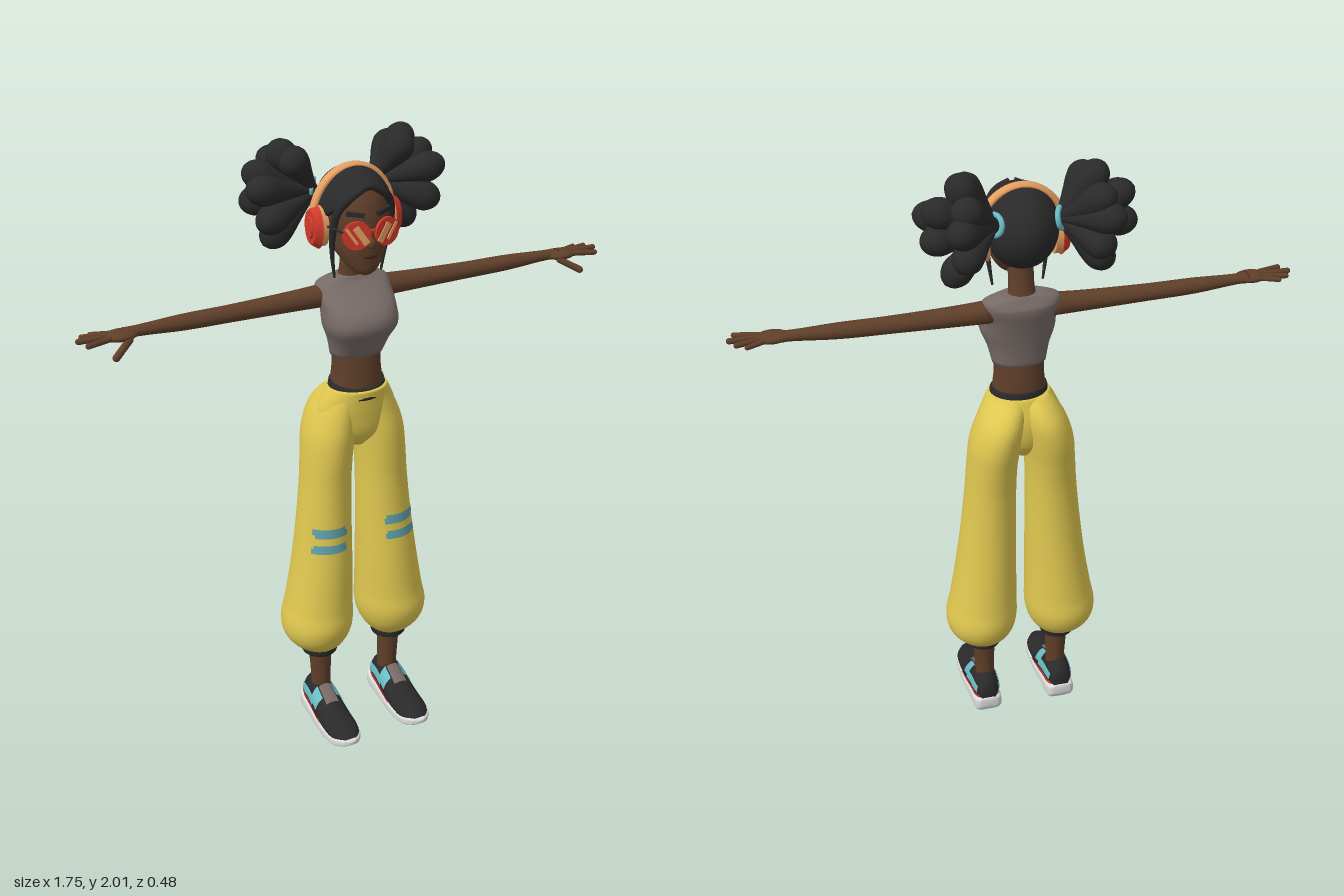
import * as THREE from 'three';

const mat = (name, color) => {
  const m = new THREE.MeshStandardMaterial({ color });
  m.name = name;
  return m;
};
const rad = THREE.MathUtils.degToRad;

// Smooth interpolation of profile rows [t, centreU, centreV, radiusU, radiusV]
function sample(rows, t) {
  const last = rows.length - 1;
  let i = 0;
  while (i < last - 1 && t > rows[i + 1][0]) i++;
  const a = rows[i], b = rows[i + 1], h = b[0] - a[0], s = (t - a[0]) / h;
  const slope = (k, c) => {
    const p = rows[Math.max(k - 1, 0)], q = rows[Math.min(k + 1, last)];
    return (q[c] - p[c]) / (q[0] - p[0]);
  };
  return [1, 2, 3, 4].map(c =>
    (2 * s ** 3 - 3 * s * s + 1) * a[c] + (s ** 3 - 2 * s * s + s) * h * slope(i, c) +
    (3 * s * s - 2 * s ** 3) * b[c] + (s ** 3 - s * s) * h * slope(i + 1, c));
}

// Skin of (super)ellipses along an axis: y rows use U = z, V = x; z rows x, y; x rows y, z.
// An angle range gives an open patch lying just above the surface.
function loft(axis, rows, { n = 2, from, to, a0 = 0, a1 = 360, grow = 0, sides = 40 } = {}) {
  const closed = a1 - a0 >= 360, pos = [], idx = [], ts = [];
  const start = from ?? rows[0][0], end = to ?? rows[rows.length - 1][0];
  if (from !== undefined) for (let i = 0; i <= 12; i++) ts.push(start + (end - start) * i / 12);
  else rows.forEach((r, i) => {
    ts.push(r[0]);
    if (i < rows.length - 1) for (let k = 1; k < 4; k++) ts.push(r[0] + (rows[i + 1][0] - r[0]) * k / 4);
  });
  const u = (axis + 1) % 3, v = (axis + 2) % 3, w = closed ? sides : sides + 1;
  const put = (t, cu, cv) => {
    const p = [0, 0, 0];
    p[axis] = t; p[u] = cu; p[v] = cv;
    pos.push(...p);
  };
  const bend = c => Math.sign(c) * Math.abs(c) ** (2 / n);
  for (const t of ts) {
    const [cu, cv, ru, rv] = sample(rows, t);
    for (let j = 0; j < w; j++) {
      const a = rad(a0 + (a1 - a0) * j / sides);
      put(t, cu + (Math.max(ru, 0.001) + grow) * bend(Math.cos(a)), cv + (Math.max(rv, 0.001) + grow) * bend(Math.sin(a)));
    }
  }
  for (let i = 0; i < ts.length - 1; i++) for (let j = 0; j < sides; j++) {
    const k = (j + 1) % w, p = i * w + j, q = i * w + k;
    idx.push(p, q, p + w, q, q + w, p + w);
  }
  if (closed) [0, ts.length - 1].forEach(i => {
    const c = pos.length / 3, s = sample(rows, ts[i]);
    put(ts[i], s[0], s[1]);
    for (let j = 0; j < w; j++) {
      const p = i * w + j, q = i * w + (j + 1) % w;
      idx.push(c, ...(i ? [p, q] : [q, p]));
    }
  });
  const g = new THREE.BufferGeometry();
  g.setAttribute('position', new THREE.Float32BufferAttribute(pos, 3));
  g.setIndex(idx);
  g.computeVertexNormals();
  return g;
}

function mirrored(g) {
  const m = g.clone().scale(-1, 1, 1), x = m.index;
  for (let i = 0; i < x.count; i += 3) {
    const a = x.getX(i);
    x.setX(i, x.getX(i + 1));
    x.setX(i + 1, a);
  }
  return m;
}

// Turns a geometry built along +y from the origin so it runs from a towards b
function aim(g, a, b) {
  const A = new THREE.Vector3(...a), d = new THREE.Vector3(...b).sub(A).normalize();
  return g.applyQuaternion(new THREE.Quaternion().setFromUnitVectors(new THREE.Vector3(0, 1, 0), d)).translate(...a);
}
const gap = (a, b) => Math.hypot(a[0] - b[0], a[1] - b[1], a[2] - b[2]);
const rod = (a, b, r) => {
  const L = gap(a, b);
  return aim(new THREE.CapsuleGeometry(r, L - r, 5, 12).translate(0, L / 2, 0), a, b);
};
const ball = (x, y, z, rx, ry, rz) => new THREE.SphereGeometry(1, 24, 16).scale(rx, ry, rz).translate(x, y, z);

export function createModel() {
  const skin = mat('skin', 0x5f3f29), black = mat('black', 0x2a2a2a), grey = mat('grey', 0x776b67);
  const yellow = mat('yellow', 0xe0c850), blue = mat('patchBlue', 0x62a3ad), cyan = mat('cyan', 0x69bcc6);
  const red = mat('red', 0xd43a2a), tan = mat('tan', 0xe79e62), white = mat('white', 0xdcdcdc), lip = mat('lip', 0x44281c);
  blue.side = cyan.side = red.side = grey.side = THREE.DoubleSide;
  const model = new THREE.Group();
  const add = (name, g, m) => {
    const mesh = new THREE.Mesh(g, m);
    mesh.name = name;
    model.add(mesh);
  };
  const pair = (name, g, m) => {
    add('left' + name, g, m);
    add('right' + name, mirrored(g), m);
  };

  // Torso, neck and crop top
  add('midriff', loft(1, [[1.2, 0, 0, .07, .085], [1.25, 0, 0, .07, .084], [1.3, 0, 0, .066, .079], [1.37, 0, 0, .058, .08]]), skin);
  add('neck', loft(1, [[1.55, -.04, 0, .045, .055], [1.6, -.032, 0, .034, .04], [1.7, -.015, 0, .036, .04]]), skin);
  add('cropTop', loft(1, [[1.345, 0, 0, .061, .084], [1.4, .014, 0, .08, .097], [1.45, .026, 0, .1, .116], [1.5, .013, 0, .098, .117],
    [1.55, -.024, 0, .07, .12], [1.575, -.034, 0, .046, .112], [1.59, -.034, 0, .037, .065]], { n: 2.3 }), grey);

  // Baggy trousers
  const band = loft(1, [[1.225, .004, 0, .08, .094], [1.245, .003, 0, .079, .091], [1.258, .002, 0, .076, .088]]);
  const bp = band.attributes.position;
  for (let i = 0; i < bp.count; i++) bp.setY(i, bp.getY(i) - .016 * Math.max(0, bp.getZ(i) / .08));
  add('waistband', band, black);
  add('trouserSeat', loft(1, [[1.03, -.02, 0, .05, .03], [1.08, -.015, 0, .082, .1], [1.15, -.012, 0, .09, .134],
    [1.2, -.004, 0, .086, .117], [1.238, .004, 0, .081, .096]]), yellow);
  const leg = [[.285, -.015, .13, .058, .055], [.31, -.018, .135, .09, .085], [.35, -.02, .138, .118, .11], [.4, -.02, .136, .13, .118],
    [.46, -.02, .13, .122, .112], [.6, -.018, .118, .11, .1], [.75, -.02, .108, .098, .09], [.9, -.022, .1, .095, .082],
    [1, -.025, .094, .103, .08], [1.08, -.03, .085, .11, .08], [1.15, -.032, .068, .105, .074], [1.2, -.02, .05, .09, .064], [1.235, 0, .035, .07, .055]];
  pair('TrouserLeg', loft(1, leg), yellow);
  [[.741, .761, -25, 44], [.753, .774, -21, 50], [.687, .705, -24, 50], [.698, .717, -21, 45]].forEach(([from, to, a0, a1], i) =>
    pair('KneePatch' + i, loft(1, leg, { from, to, a0, a1, grow: .003 + (i % 2) * .0006, sides: 16 }), blue));
  pair('AnkleCuff', loft(1, [[.262, -.015, .13, .05, .05], [.268, -.015, .13, .06, .058], [.295, -.015, .13, .061, .06], [.304, -.015, .13, .05, .05]]), black);
  pair('Shin', loft(1, [[.09, -.018, .127, .034, .032], [.16, -.014, .127, .034, .033], [.3, -.015, .13, .04, .04]]), skin);

  // Trainers
  const upper = [[-.088, .13, .07, .025, .035], [-.06, .13, .078, .041, .06], [-.01, .13, .076, .046, .068], [.045, .13, .062, .05, .06],
    [.11, .13, .048, .054, .042], [.18, .13, .042, .05, .031], [.225, .13, .038, .026, .014]];
  pair('ShoeUpper', loft(2, upper), black);
  pair('ShoeSole', loft(2, [[-.094, .13, .042, .03, .018], [-.08, .13, .033, .046, .03], [0, .13, .025, .051, .024], [.1, .13, .022, .058, .02],
    [.185, .13, .026, .053, .018], [.225, .13, .035, .03, .013], [.236, .13, .037, .01, .006]], { n: 4 }), white);
  for (const [side, flip] of [['Outer', a => a], ['Inner', a => 180 - a]]) {
    const patch = (name, from, to, lo, hi, m) => {
      const [a0, a1] = [flip(lo), flip(hi)].sort((p, q) => p - q);
      pair(side + name, loft(2, upper, { from, to, a0, a1, grow: .003, sides: 10 }), m);
    };
    patch('ShoeStripe', -.08, .095, -24, -4, red);
    patch('ShoePanel', -.07, .03, 2, 28, cyan);
    patch('ShoeStrap', .015, .06, 12, 62, cyan);
  }
  pair('ShoeTongue', loft(2, upper, { from: .02, to: .085, a0: 66, a1: 114, grow: .004, sides: 10 }), grey);

  // Arms and hands
  pair('Arm', loft(0, [[.09, 1.533, -.028, .036, .036], [.2, 1.531, -.028, .031, .034], [.4, 1.53, -.026, .026, .029],
    [.55, 1.531, -.024, .024, .027], [.69, 1.533, -.02, .016, .02], [.73, 1.533, -.015, .016, .03]], { sides: 24 }), skin);
  pair('Palm', ball(.742, 1.532, -.012, .052, .016, .036), skin);
  [[[.765, 1.533, -.036], [.822, 1.531, -.058], .0075], [[.775, 1.534, -.024], [.852, 1.534, -.042], .0085],
    [[.78, 1.535, -.01], [.87, 1.535, -.012], .009], [[.775, 1.534, .006], [.852, 1.532, .026], .009],
    [[.72, 1.525, .01], [.782, 1.49, .053], .011]].forEach(([a, b, r], i) => pair('Finger' + i, rod(a, b, r), skin));

  // Head and face
  add('head', loft(1, [[1.618, .062, 0, .016, .018], [1.63, .055, 0, .034, .038], [1.66, .035, 0, .06, .062], [1.7, .014, 0, .085, .083],
    [1.75, 0, 0, .1, .092], [1.8, -.01, 0, .107, .098], [1.86, -.02, 0, .098, .088], [1.9, -.02, 0, .06, .055], [1.912, -.02, 0, .02, .02]]), skin);
  add('nose', ball(0, 1.722, .1, .014, .017, .014), skin);
  add('mouth', ball(0, 1.683, .098, .024, .008, .008), lip);
  pair('Eyebrow', new THREE.BoxGeometry(.054, .012, .012).rotateZ(.12).rotateY(.4).translate(.046, 1.813, .087), black);

  // Round glasses with glare stripes
  const onLens = g => g.rotateY(.22).translate(.049, 1.755, .103);
  pair('Lens', onLens(new THREE.CylinderGeometry(.043, .043, .009, 32).rotateX(Math.PI / 2)), red);
  for (const [x, w, l] of [[-.013, .02, .062], [.016, .009, .058]])
    pair('LensGlare', onLens(new THREE.BoxGeometry(w, l, .003).rotateZ(-.6).translate(x, 0, .006)), tan);
  add('glassesBridge', new THREE.BoxGeometry(.02, .008, .008).translate(0, 1.765, .108), red);
  pair('GlassesArm', rod([.09, 1.768, .094], [.108, 1.768, .01], .004), black);

  // Hair shell, sunk below the skin inside the hairline
  const hair = new THREE.SphereGeometry(1, 96, 72).scale(.111, .126, .138).translate(0, 1.8, -.018);
  const hp = hair.attributes.position;
  for (let i = 0; i < hp.count; i++) {
    const x = hp.getX(i), y = hp.getY(i), z = hp.getZ(i);
    if (z > .02 && y < 1.885 - 8 * x * x) hp.setXYZ(i, x * .75, 1.8 + (y - 1.8) * .75, -.018 + (z + .018) * .7);
  }
  hair.computeVertexNormals();
  add('hairCap', hair, black);

  // Swept locks framing the face
  const lock = new THREE.CatmullRomCurve3([[.004, 1.893, .082], [.05, 1.868, .082], [.087, 1.815, .055], [.093, 1.74, .032], [.086, 1.66, .016], [.078, 1.6, .012]]
    .map(p => new THREE.Vector3(...p)));
  const lockGeo = new THREE.TubeGeometry(lock, 40, .012, 10);
  const lp = lockGeo.attributes.position;
  for (let i = 0; i < lp.count; i++) {
    const t = Math.floor(i / 11) / 40, c = lock.getPointAt(t), p = new THREE.Vector3().fromBufferAttribute(lp, i);
    p.sub(c).multiplyScalar(t < .5 ? 1 : 1 - 1.4 * (t - .5)).add(c);
    lp.setXYZ(i, p.x, p.y, p.z);
  }
  pair('HairLock', lockGeo, black);

  // Puffs of teardrop lobes, with ties
  const root = [.09, 1.84, -.09];
  const drop = [[0, .012], [.2, .018], [.42, .03], [.62, .042], [.78, .046], [.9, .036], [.97, .02], [1, 0]];
  const smooth = new THREE.SplineCurve(drop.map(([t, r]) => new THREE.Vector2(r, t))).getPoints(24);
  [[.225, 2, -.1], [.225, 1.95, -.2], [.31, 1.925, -.12], [.325, 1.885, -.05], [.25, 1.885, -.235], [.32, 1.825, -.13],
    [.3, 1.775, -.03], [.23, 1.77, -.205], [.25, 1.685, -.12], [.2, 1.985, -.05]].forEach((tip, i) => {
    const L = gap(root, tip);
    const pts = smooth.map(p => new THREE.Vector2(Math.max(p.x, 0), p.y * L));
    pair('PuffLobe' + i, aim(new THREE.LatheGeometry(pts, 20), root, tip), black);
  });
  pair('HairTie', aim(new THREE.TorusGeometry(.03, .008, 10, 28).rotateX(Math.PI / 2), [.098, 1.845, -.1], [.2, 1.87, -.16]), cyan);

  // Headphones
  add('headband', new THREE.TorusGeometry(.13, .01, 12, 48, Math.PI).scale(1, 1.13, 1.7).translate(0, 1.777, -.026), tan);
  const cup = (r0, r1, w, x) => new THREE.CylinderGeometry(r1, r0, w, 32).rotateZ(-Math.PI / 2).scale(1, 1, .72).translate(x, 1.758, -.016);
  pair('EarCushion', cup(.062, .062, .022, .111), tan);
  pair('EarCup', cup(.068, .052, .022, .132), red);
  pair('EarCupCap', cup(.036, .032, .008, .144), red);
  return model;
}
